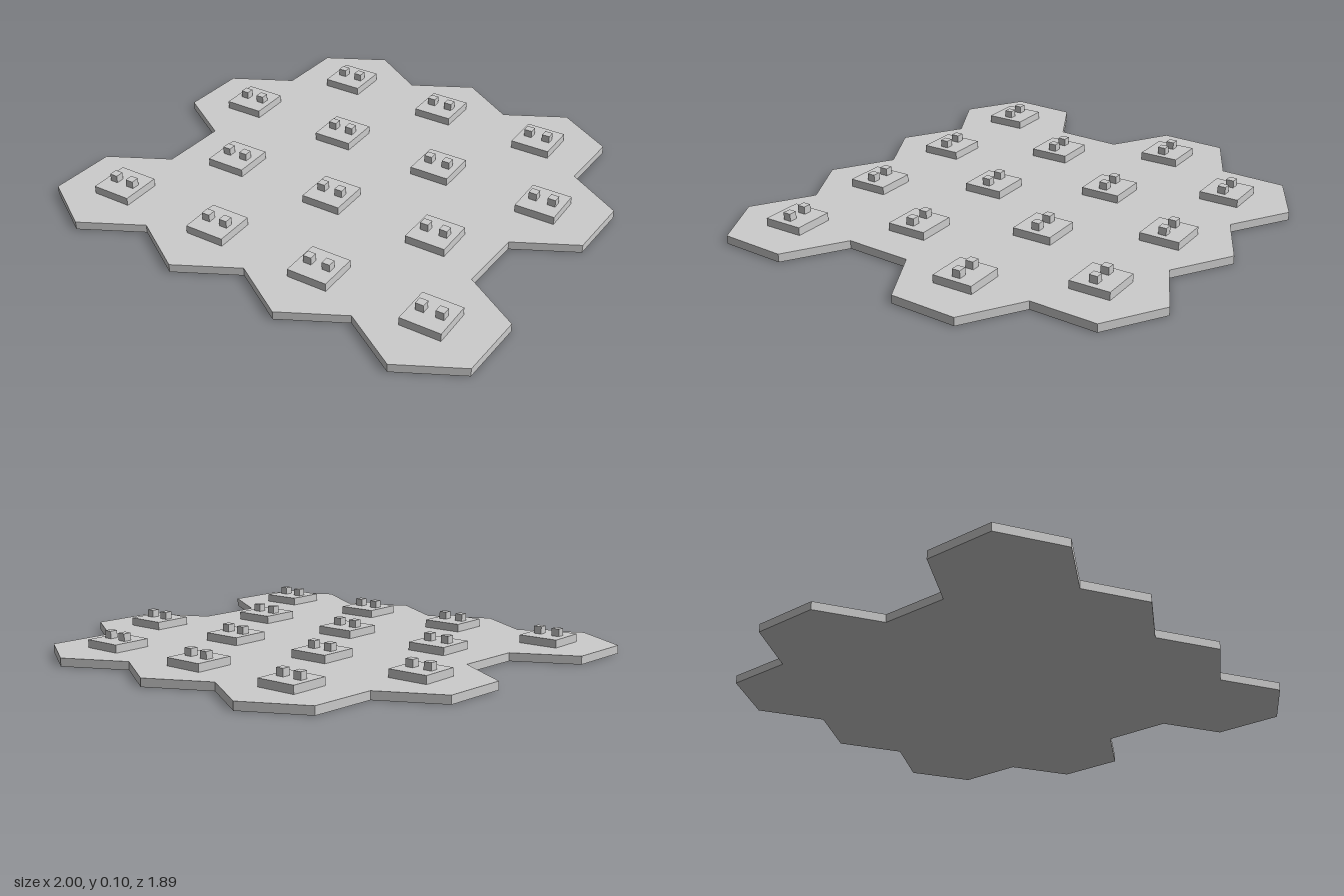
import * as THREE from 'three';

const R = 0.2818;                    // hexagon radius = edge length
const TILT = 0.046;                  // the tile grid is turned slightly
const BASE_H = 0.034, PAD_H = 0.033, STUD_H = 0.031;
const FIRST = { x: -0.45, z: -0.661 }; // centre of the first tile

// Step from a point along an angle measured in the x/z plane of the tilted grid
const step = (p, angle, length) => ({
  x: p.x + length * Math.cos(angle + TILT),
  z: p.z + length * Math.sin(angle + TILT),
});

// Joined outline of all tiles, walked edge by edge (multiples of 30 degrees)
function outline() {
  const angle = { e: 30, d: 90, w: 150, W: 210, u: 270, E: 330 }; // lower case w/e go forward, upper case go back
  const walk = 'eEeEededwdedwWwWwWwWuEuWuEuE';
  const points = [];
  let p = step(FIRST, -Math.PI / 2, R);
  for (const c of walk) {
    points.push(new THREE.Vector2(p.x, -p.z));
    p = step(p, THREE.MathUtils.degToRad(angle[c]), R);
  }
  return new THREE.Shape(points.reverse());
}

export function createModel() {
  const model = new THREE.Group();
  model.name = 'hexTileBoard';
  const grey = new THREE.MeshStandardMaterial({ color: 0xcccccc });
  grey.name = 'lightGrey';

  const add = (parent, name, geometry, x, y, z) => {
    const mesh = new THREE.Mesh(geometry, grey);
    mesh.name = name;
    mesh.position.set(x, y, z);
    parent.add(mesh);
  };

  // Flat base
  const base = new THREE.ExtrudeGeometry(outline(), { depth: BASE_H, bevelEnabled: false });
  base.rotateX(-Math.PI / 2);
  add(model, 'base', base, 0, 0, 0);

  // One square pad with two studs per tile
  const padGeo = new THREE.BoxGeometry(0.169, PAD_H, 0.169);
  const studGeo = new THREE.BoxGeometry(0.034, STUD_H, 0.034);
  const rows = [[3, 0], [4, -0.5], [3, 0], [4, -0.5]]; // tile count, column offset
  rows.forEach(([count, offset], r) => {
    const rowStart = step(FIRST, Math.PI / 2, r * 1.5 * R);
    for (let c = 0; c < count; c++) {
      const p = step(rowStart, 0, (c + offset) * Math.sqrt(3) * R);
      const tile = new THREE.Group();
      tile.name = 'tileTop';
      tile.position.set(p.x, BASE_H, p.z);
      add(tile, 'pad', padGeo, 0, PAD_H / 2, 0);
      for (const side of [-1, 1]) add(tile, 'stud', studGeo, side * 0.041, PAD_H + STUD_H / 2, 0);
      model.add(tile);
    }
  });
  return model;
}
